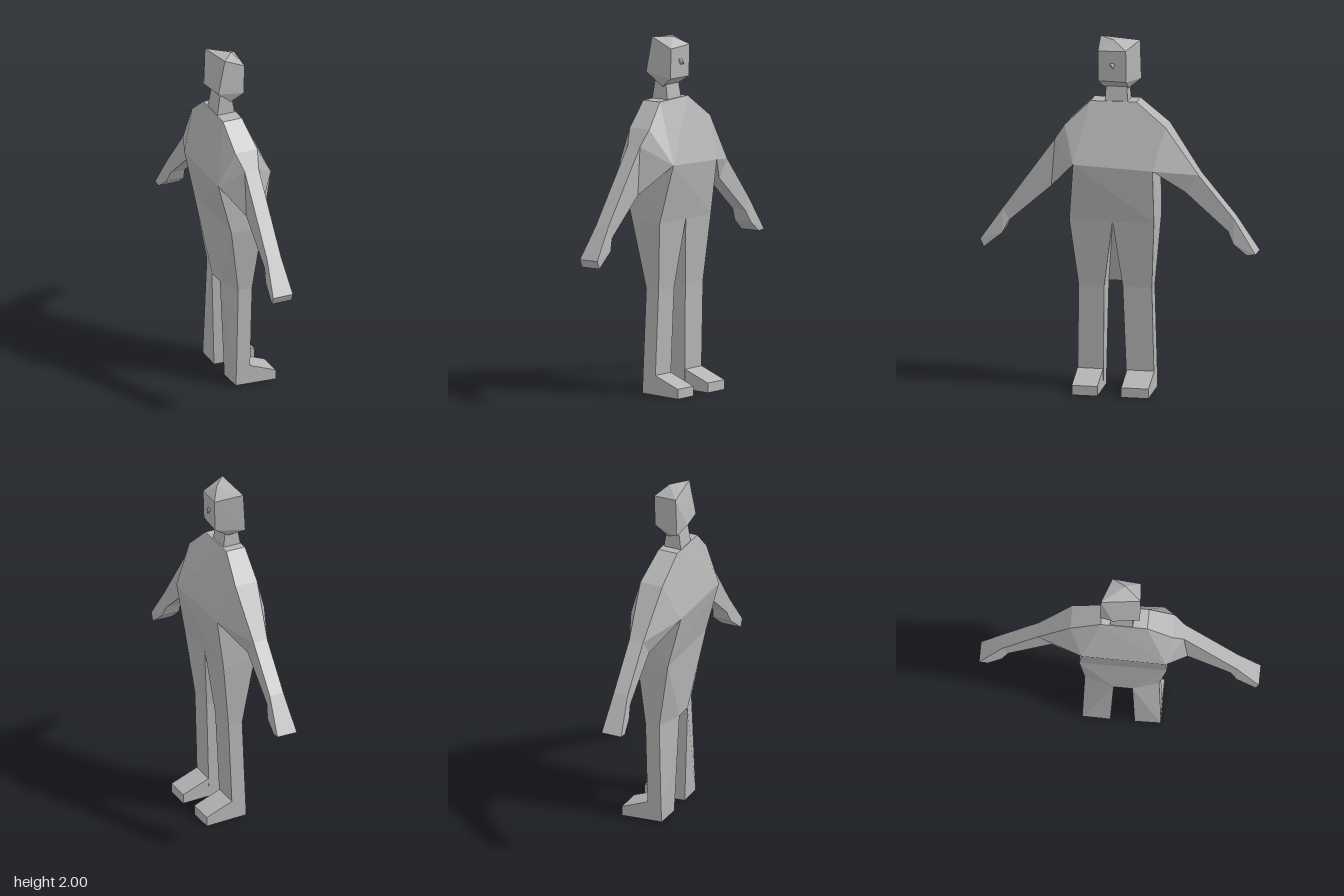
import * as THREE from 'three';
import { ConvexGeometry } from 'three/addons/geometries/ConvexGeometry.js';

export function createModel() {
  const model = new THREE.Group();
  model.name = 'figure';
  const clay = new THREE.MeshStandardMaterial({ color: 0xb4b4b4, flatShading: true });
  clay.name = 'grey clay';

  // faceted solid around a few corner points
  function solid(name, points, parent = model) {
    const corners = points.map((p) => new THREE.Vector3(...p));
    const mesh = new THREE.Mesh(new ConvexGeometry(corners), clay);
    mesh.name = name;
    parent.add(mesh);
  }
  // back and front corner at the same height and side position
  const pair = (back, front, y, z) => [[back, y, z], [front, y, z]];

  // shared corners of the trunk, the figure faces +x
  const bellyA = [[0.15, 1.31, 0.23], [-0.19, 1.31, 0.27]];
  const bellyB = [[0.12, 1.285, -0.215], [-0.18, 1.3, -0.2]];
  const shoulderA = pair(-0.1, 0.035, 1.51, 0.3);
  const shoulderB = pair(-0.1, 0.035, 1.52, -0.27);
  const collar = [...pair(-0.11, 0.005, 1.645, 0.16), ...pair(-0.11, 0.005, 1.65, -0.1)];
  const hipA = [[0.08, 0.98, 0.265], [-0.11, 1.0, 0.27]];
  const hipB = [[0.08, 0.98, -0.215], [-0.11, 1.0, -0.22]];
  const crotch = [[0.08, 0.98, 0.02], [-0.11, 1.0, 0.02]];

  // trunk
  solid('chest', [...bellyA, ...bellyB, ...shoulderA, ...shoulderB, ...collar]);
  solid('waist', [...bellyA, ...bellyB, ...hipA, ...hipB]);
  solid('neck', [
    ...pair(-0.11, 0.0, 1.63, 0.08), ...pair(-0.11, 0.0, 1.63, -0.05),
    ...pair(-0.09, -0.02, 1.76, 0.075), ...pair(-0.09, -0.02, 1.76, -0.04),
  ]);

  // head and nose
  solid('head', [
    [-0.08, 2.0, 0.12], [-0.1, 1.98, -0.1], [0.0, 1.998, 0.03],
    [0.045, 1.94, 0.11], [0.055, 1.95, -0.05],
    [0.04, 1.77, 0.11], [0.05, 1.77, -0.05],
    [-0.03, 1.72, 0.09], [-0.03, 1.72, -0.05],
    [-0.11, 1.76, -0.105], [-0.14, 1.8, -0.03], [-0.12, 1.8, 0.12],
  ]);
  solid('nose', [
    [0.045, 1.878, 0.045], [0.045, 1.878, 0.01], [0.045, 1.842, 0.025],
    [0.067, 1.848, 0.02], [0.045, 1.86, 0.04],
  ]);

  // arms: elbow, wrist and hand corners as [y, z]
  const arms = [
    { side: 'left', root: [...bellyA, ...shoulderA], top: [1.42, 0.36], under: [1.15, 0.38], s: 1 },
    { side: 'right', root: [...bellyB, ...shoulderB, ...pair(-0.09, 0.02, 1.43, -0.31)],
      top: [1.25, -0.455], under: [1.15, -0.38], s: -1 },
  ];
  for (const { side, root, top, under, s } of arms) {
    const arm = new THREE.Group();
    arm.name = side + 'Arm';
    model.add(arm);
    const elbow = [...pair(-0.07, 0.015, ...top), ...pair(-0.07, 0.015, ...under)];
    const wrist = [...pair(-0.07, 0.015, 1.01, 0.655 * s), ...pair(-0.07, 0.015, 0.94, 0.62 * s)];
    solid(side + 'UpperArm', [...root, ...elbow], arm);
    solid(side + 'Forearm', [...elbow, ...wrist], arm);
    const tip = s > 0
      ? [...pair(-0.09, 0.03, 0.83, 0.78), ...pair(-0.09, 0.03, 0.785, 0.76)]
      : [...pair(-0.09, 0.03, 0.815, -0.78), ...pair(-0.09, 0.03, 0.81, -0.73)];
    solid(side + 'Hand', [...wrist, ...pair(-0.08, 0.03, 0.87, 0.655 * s), ...tip], arm);
  }

  // legs: inner and outer z at the knee and ankle
  const legs = [
    { side: 'left', hip: hipA, knee: [0.075, 0.22], ankle: [0.085, 0.23] },
    { side: 'right', hip: hipB, knee: [-0.03, -0.195], ankle: [-0.05, -0.205] },
  ];
  for (const { side, hip, knee, ankle } of legs) {
    const leg = new THREE.Group();
    leg.name = side + 'Leg';
    model.add(leg);
    const kneeRing = [...pair(-0.09, 0.04, 0.6, knee[0]), ...pair(-0.045, 0.04, 0.6, knee[1])];
    const [inner, outer] = ankle;
    solid(side + 'Thigh', [...hip, ...crotch, ...kneeRing], leg);
    solid(side + 'Shin', [
      ...kneeRing,
      ...pair(-0.07, 0.02, 0.12, inner), ...pair(-0.06, 0.02, 0.12, outer),
      ...pair(-0.068, 0.02, 0.012, inner), ...pair(-0.065, 0.02, 0.012, outer),
    ], leg);
    solid(side + 'Foot', ankle.flatMap((z) => [
      [-0.0, 0.12, z], [0.02, 0.12, z], [0.18, 0.055, z], [0.18, 0, z], [-0.065, 0.012, z],
    ]), leg);
  }

  // sloping web of cloth between the thighs
  solid('seatPanel', [...crotch, [-0.09, 0.6, 0.075], [-0.09, 0.6, -0.03]]);

  return model;
}
